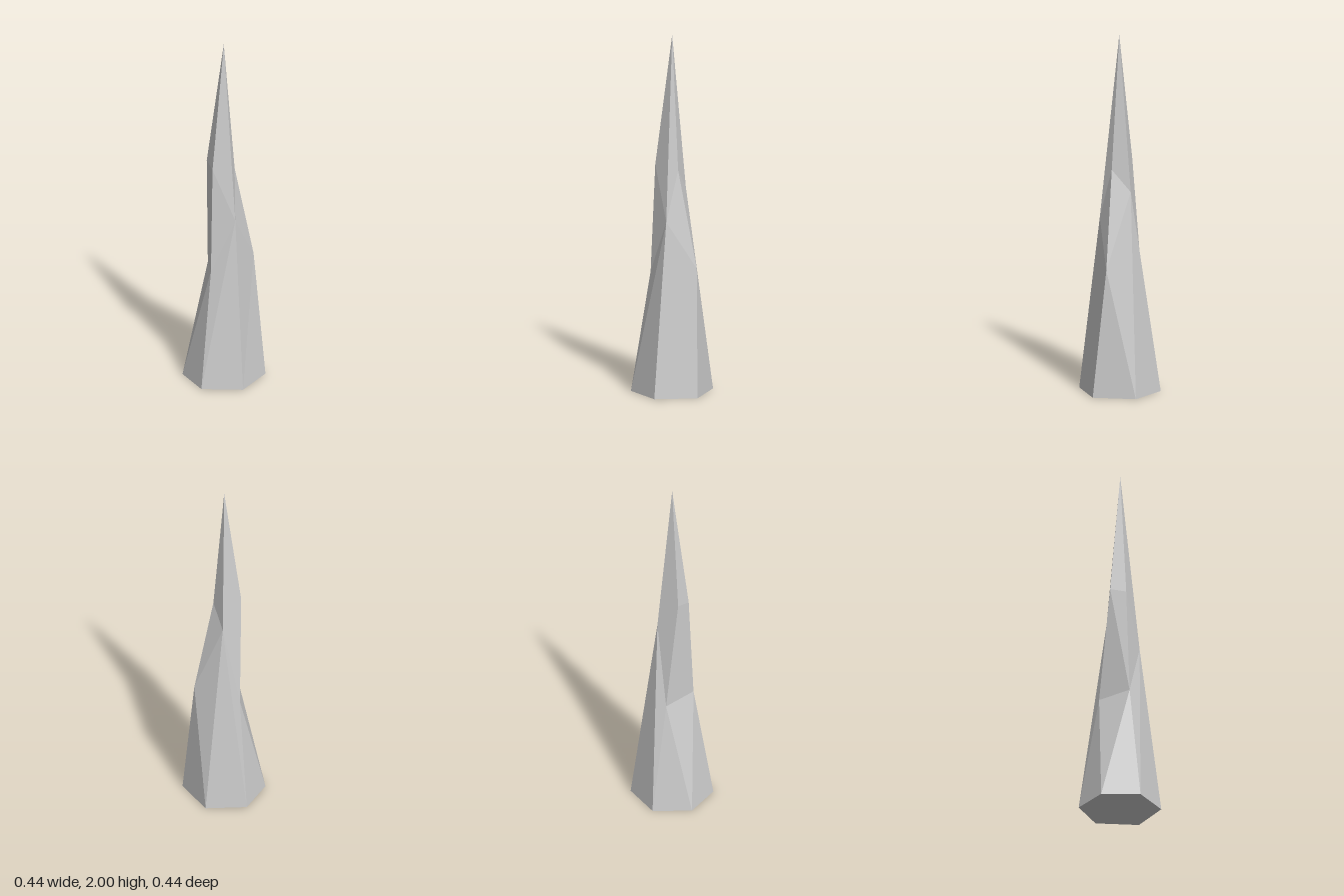
import * as THREE from 'three';

// Irregular six-sided base, counter-clockwise seen from above
const base = [
  [0.045, 0, 0.217], [0.218, 0, 0.055], [0.148, 0, -0.172],
  [-0.072, 0, -0.219], [-0.219, 0, -0.062], [-0.171, 0, 0.147],
];
// Low shoulders where the flanks break
const shoulder = [[0.167, 0.71, -0.003], [-0.063, 0.64, -0.107], [-0.095, 0.67, 0.07]];
// Upper ring from which the point tapers
const collar = [
  [0.035, 0.97, 0.098], [0.054, 1.25, 0.017], [0.028, 1.13, -0.085],
  [-0.088, 1.29, -0.04], [-0.08, 1.27, 0.048],
];
const apex = [-0.002, 2, -0.002];

function createShardGeometry() {
  const [b0, b1, b2, b3, b4, b5] = base;
  const [s0, s1, s2] = shoulder;
  const [c0, c1, c2, c3, c4] = collar;
  const triangles = [
    // Lower flanks
    [b0, b1, s0], [b0, s0, c0], [b1, b2, s0], [b2, c2, s0], [b2, b3, c2],
    [b3, s1, c2], [b3, b4, s1], [b4, s2, s1], [b4, b5, s2], [b5, c0, s2], [b5, b0, c0],
    // Middle facets
    [c0, s0, c1], [s0, c2, c1], [c2, s1, c3], [s1, s2, c3], [s2, c4, c3], [s2, c0, c4],
  ];
  // Point
  collar.forEach((p, i) => triangles.push([p, collar[(i + 1) % collar.length], apex]));
  // Underside
  for (let i = 1; i < base.length - 1; i++) triangles.push([base[0], base[i + 1], base[i]]);

  const geometry = new THREE.BufferGeometry();
  geometry.setAttribute('position', new THREE.Float32BufferAttribute(triangles.flat(2), 3));
  geometry.computeVertexNormals();
  return geometry;
}

export function createModel() {
  const group = new THREE.Group();
  group.name = 'crystalSpike';
  const material = new THREE.MeshStandardMaterial({ color: 0xcccccc, flatShading: true });
  const shard = new THREE.Mesh(createShardGeometry(), material);
  shard.name = 'shard';
  group.add(shard);
  return group;
}
